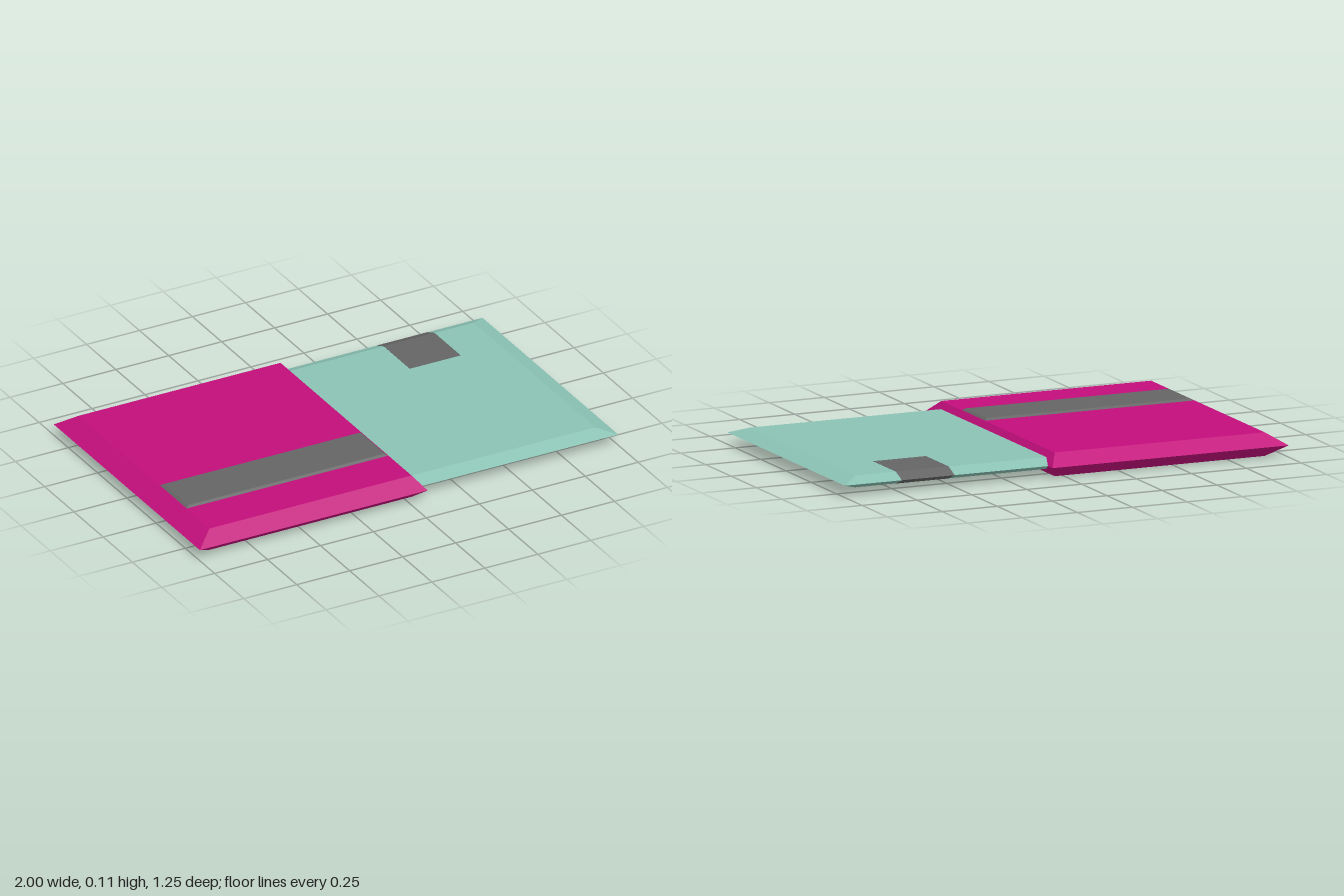
import * as THREE from 'three';

// Solid skinned over stacked rectangles, bottom to top: [x0, x1, z0, z1, y]
function stackedRects(rings) {
  const pos = [], idx = [];
  for (const [x0, x1, z0, z1, y] of rings) {
    pos.push(x0, y, z1, x1, y, z1, x1, y, z0, x0, y, z0);
  }
  const quad = (a, b, c, d) => idx.push(a, b, c, a, c, d);
  for (let r = 0; r < rings.length - 1; r++) {
    for (let i = 0; i < 4; i++) {
      const a = r * 4 + i, b = r * 4 + (i + 1) % 4;
      quad(a, b, b + 4, a + 4);
    }
  }
  const t = (rings.length - 1) * 4;
  quad(3, 2, 1, 0);
  quad(t, t + 1, t + 2, t + 3);
  const indexed = new THREE.BufferGeometry();
  indexed.setAttribute('position', new THREE.Float32BufferAttribute(pos, 3));
  indexed.setIndex(idx);
  const geometry = indexed.toNonIndexed();
  geometry.computeVertexNormals();
  return geometry;
}

// Slab with a knife edge all round at mid height
function bevelledSlab(outer, face, bottom, top) {
  return stackedRects([[...face, bottom], [...outer, (bottom + top) / 2], [...face, top]]);
}

export function createModel() {
  const group = new THREE.Group();
  const material = (color) => new THREE.MeshStandardMaterial({ color, flatShading: true });
  const magenta = material(0xc20e7b), teal = material(0x8ac2b3), grey = material(0x656565);
  const add = (name, geometry, mat) => {
    const mesh = new THREE.Mesh(geometry, mat);
    mesh.name = name;
    group.add(mesh);
    return mesh;
  };

  // Thick cover and the thinner panel sliding out of it
  add('sleeve', bevelledSlab([-1, 0.075, -0.625, 0.625], [-0.92, 0.035, -0.56, 0.56], 0, 0.1), magenta);
  add('panel', bevelledSlab([-0.2, 1, -0.58, 0.58], [-0.15, 0.925, -0.52, 0.52], 0.025, 0.075), teal);

  // Raised band along the sleeve
  add('band', stackedRects([
    [-0.92, 0.035, 0.128, 0.365, 0.098],
    [-0.905, 0.022, 0.143, 0.352, 0.108],
  ]), grey);

  // Clip wrapped over the rear edge of the panel, a hair proud of its surface
  const profile = new THREE.Shape([
    [0.581, 0.05], [0.52, 0.0757], [0.297, 0.0757], [0.297, 0.0243], [0.52, 0.0243],
  ].map(([u, v]) => new THREE.Vector2(u, v)));
  const clip = add('edgeClip', new THREE.ExtrudeGeometry(profile, { depth: 0.24, bevelEnabled: false }), grey);
  clip.rotation.y = Math.PI / 2;
  clip.position.x = 0.5;

  return group;
}
